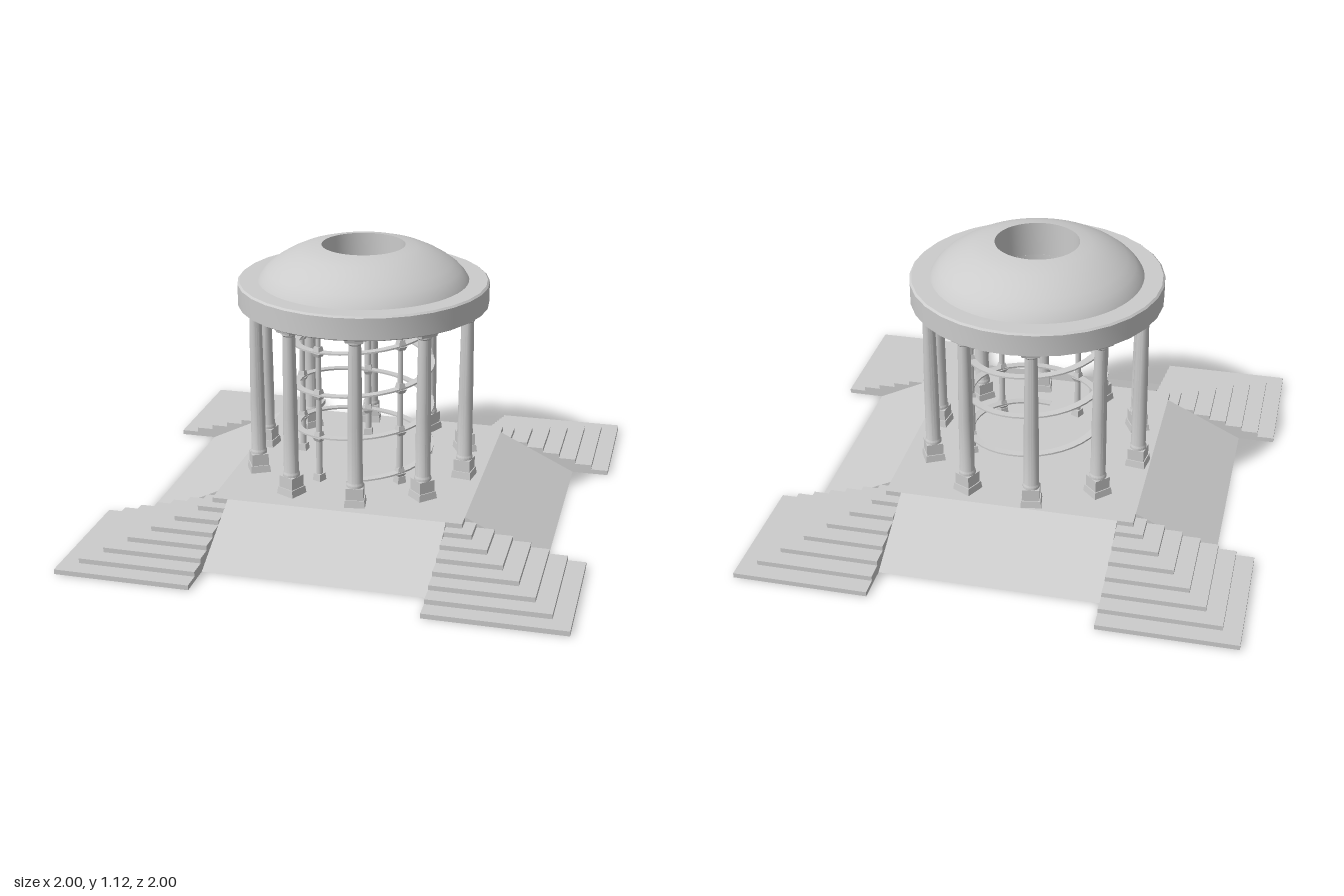
import * as THREE from 'three';
import { toCreasedNormals } from 'three/addons/utils/BufferGeometryUtils.js';

const mat = new THREE.MeshStandardMaterial({ color: 0xcccccc, side: THREE.DoubleSide });
const FLOOR = 0.16, CEILING = 0.87;

function add(parent, name, geometry, x = 0, y = 0, z = 0) {
  const mesh = new THREE.Mesh(geometry, mat);
  mesh.name = name;
  mesh.position.set(x, y, z);
  parent.add(mesh);
  return mesh;
}

function lathe(points, sides) {
  const profile = points.map(([r, y]) => new THREE.Vector2(r, y));
  return toCreasedNormals(new THREE.LatheGeometry(profile, sides), 0.5);
}

// Square block, optionally tapered, given by its bottom and top widths
function block(bottom, top, height) {
  const g = new THREE.CylinderGeometry(top * Math.SQRT1_2, bottom * Math.SQRT1_2, height, 4).toNonIndexed();
  g.rotateY(Math.PI / 4);
  g.computeVertexNormals();
  return g;
}

// Square platform with a ramp on each side and steps at each corner
function createBase() {
  const base = new THREE.Group();
  base.name = 'base';
  add(base, 'platform', new THREE.BoxGeometry(1.03, FLOOR, 1.03), 0, FLOOR / 2, 0);

  const slope = new THREE.Shape([
    new THREE.Vector2(0.5, 0), new THREE.Vector2(0.845, 0),
    new THREE.Vector2(0.515, FLOOR), new THREE.Vector2(0.5, FLOOR),
  ]);
  const ramp = new THREE.ExtrudeGeometry(slope, { depth: 0.9, bevelEnabled: false });
  ramp.translate(0, 0, -0.45);
  for (let i = 0; i < 4; i++) add(base, 'ramp', ramp).rotation.y = i * Math.PI / 2;

  for (const sx of [-1, 1]) for (const sz of [-1, 1]) {
    for (let i = 0; i < 7; i++) {
      const size = 0.55 - i * 0.073, mid = 0.45 + size / 2;
      add(base, 'cornerStep', new THREE.BoxGeometry(size, 0.02, size), sx * mid, 0.01 + i * 0.02, sz * mid);
    }
  }
  return base;
}

// Tapered column on a square pedestal
function createColumn() {
  const column = new THREE.Group();
  column.name = 'column';
  add(column, 'pedestalFoot', block(0.085, 0.078, 0.03), 0, FLOOR + 0.015, 0);
  add(column, 'pedestal', block(0.07, 0.07, 0.05), 0, FLOOR + 0.055, 0);
  add(column, 'shaft', lathe([
    [0, 0.24], [0.035, 0.24], [0.035, 0.25], [0.031, 0.258], [0.03, 0.5],
    [0.025, 0.84], [0.03, 0.846], [0.03, 0.857], [0, 0.857],
  ], 20));
  add(column, 'capital', block(0.07, 0.078, 0.015), 0, CEILING - 0.0075, 0);
  return column;
}

// Flat ribbon winding upward on the inner posts
const TURNS = 3.7, PITCH = 0.185, HELIX_START = 0.18;
function createSpiral() {
  const steps = 150, inner = 0.268, outer = 0.3, thick = 0.007;
  const pos = [], index = [];
  for (let i = 0; i <= steps; i++) {
    const turn = TURNS * i / steps, a = turn * Math.PI * 2;
    const y = HELIX_START + turn * PITCH;
    for (const [r, dy] of [[inner, 0], [outer, 0], [outer, thick], [inner, thick]]) {
      pos.push(r * Math.sin(a), y + dy, r * Math.cos(a));
    }
    if (i === steps) continue;
    for (let k = 0; k < 4; k++) {
      const a0 = i * 4 + k, b0 = i * 4 + (k + 1) % 4;
      index.push(a0, a0 + 4, b0, b0, a0 + 4, b0 + 4);
    }
  }
  const g = new THREE.BufferGeometry();
  g.setAttribute('position', new THREE.Float32BufferAttribute(pos, 3));
  g.setIndex(index);
  return toCreasedNormals(g, 0.6);
}

// Slender post with a collar wherever the ribbon crosses it
function createPost(angle) {
  const post = new THREE.Group();
  post.name = 'innerPost';
  add(post, 'postFoot', block(0.04, 0.034, 0.03), 0, FLOOR + 0.015, 0);
  add(post, 'postShaft', new THREE.CylinderGeometry(0.01, 0.014, CEILING - FLOOR, 10), 0, (CEILING + FLOOR) / 2, 0);
  for (let turn = angle / (Math.PI * 2); turn < TURNS; turn++) {
    const y = HELIX_START + turn * PITCH;
    add(post, 'collar', block(0.026, 0.04, 0.016), 0, y - 0.008, 0);
    add(post, 'collarBase', block(0.032, 0.024, 0.02), 0, y + 0.017, 0);
  }
  return post;
}

export function createModel() {
  const model = new THREE.Group();
  model.name = 'pavilion';
  model.add(createBase());

  const rotunda = new THREE.Group();
  rotunda.name = 'rotunda';
  rotunda.position.set(-0.012, 0, -0.015);
  model.add(rotunda);

  const place = (part, radius, angle) => {
    part.position.set(radius * Math.sin(angle), 0, radius * Math.cos(angle));
    part.rotation.y = angle;
    rotunda.add(part);
  };
  // Ten outer columns, with a thin post inside every second one
  for (let i = 0; i < 10; i++) {
    const angle = THREE.MathUtils.degToRad(9.5 + i * 36);
    place(createColumn(), 0.455, angle);
    if (i % 2) place(createPost(angle), 0.284, angle);
  }
  add(rotunda, 'spiralRibbon', createSpiral());

  // Round entablature, open in the middle
  add(rotunda, 'entablature', lathe([
    [0.172, CEILING], [0.505, CEILING], [0.52, 0.878], [0.52, 0.966],
    [0.512, 0.973], [0.172, 0.973], [0.172, CEILING],
  ], 32));

  // Low dome around an open eye
  add(rotunda, 'dome', lathe([
    [0.435, 0.973], [0.425, 0.99], [0.4, 1.018], [0.365, 1.045], [0.32, 1.072],
    [0.27, 1.095], [0.22, 1.11], [0.172, 1.117], [0.172, 0.973],
  ], 64));
  return model;
}
